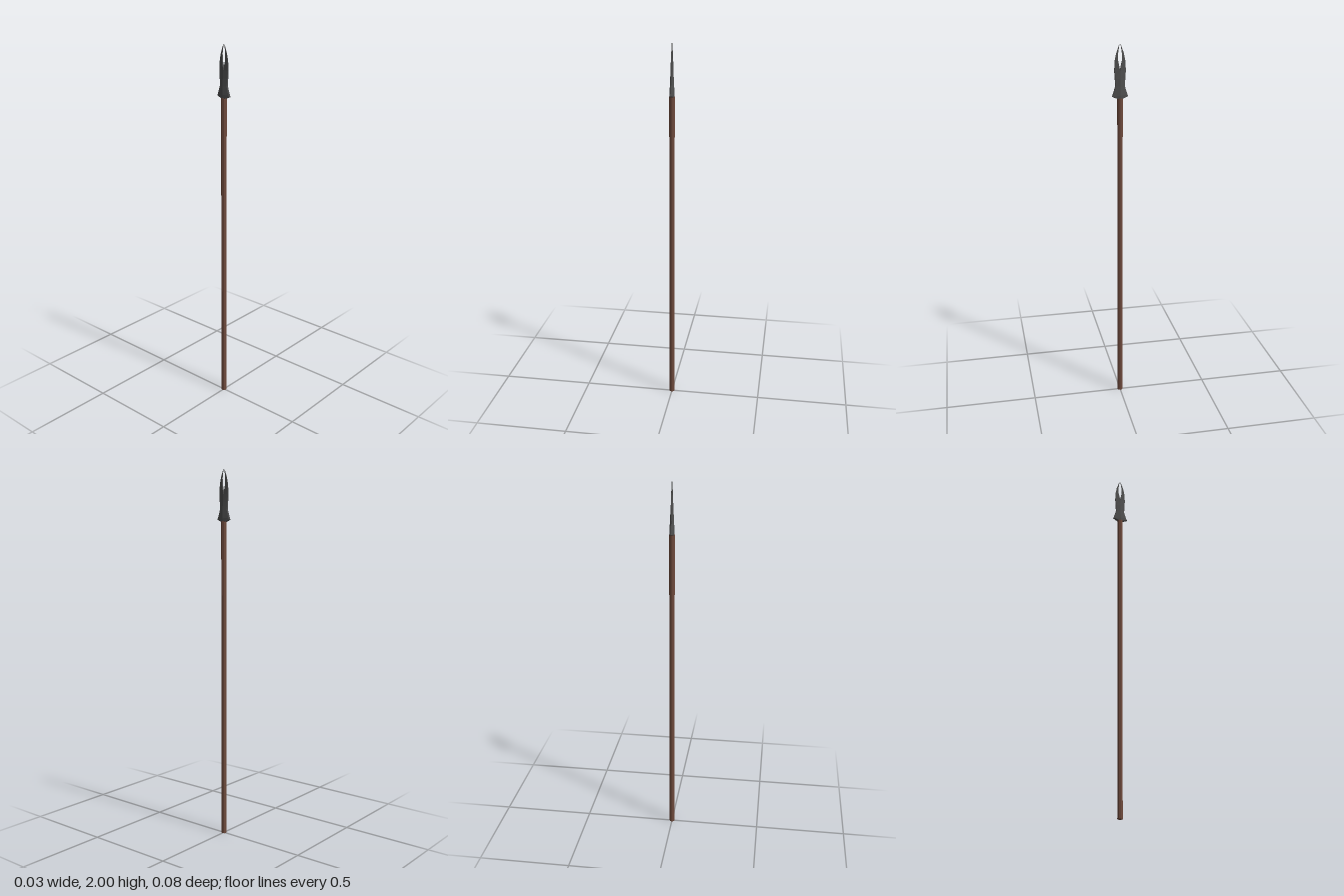
import * as THREE from 'three';

const wood = new THREE.MeshStandardMaterial({ color: 0x6e4a3c, flatShading: true });
const iron = new THREE.MeshStandardMaterial({ color: 0x505050, flatShading: true });

// One half of the forked head, lofted upwards through six-sided sections.
// Row: [inner y, outer y, inner z, outer z, inner half thickness, outer half thickness]
const ROWS = [
  [1.722, 1.738, 0, 0.042, 0.012, 0.006],
  [1.745, 1.748, 0, 0.038, 0.013, 0.006],
  [1.79, 1.79, 0, 0.025, 0.011, 0.005],
  [1.83, 1.83, 0, 0.027, 0.009, 0.004],
  [1.87, 1.87, 0, 0.030, 0.006, 0.003],
  [1.92, 1.92, 0.010, 0.027, 0.003, 0.002],
  [1.955, 1.955, 0.010, 0.020, 0.002, 0.001],
  [2.0, 2.0, 0.003, 0.004, 0.0005, 0.0005],
];
const NOTCH_ROW = 4;

function halfHeadGeometry() {
  const positions = [];
  const index = [];
  for (const [yIn, yOut, zIn, zOut, tIn, tOut] of ROWS) {
    const zBevel = zOut - (zOut - zIn) * 0.12;
    const side = [[tIn, yIn, zIn], [tOut, yOut, zBevel], [tOut * 0.5, yOut, zOut]];
    const far = side.map(([x, y, z]) => [-x, y, z]).reverse();
    positions.push(...side.flat(), ...far.flat());
  }
  for (let r = 0; r < ROWS.length - 1; r++) {
    for (let k = 0; k < 6; k++) {
      if (k === 5 && r < NOTCH_ROW) continue; // halves join below the notch
      const a = r * 6 + k;
      const b = r * 6 + ((k + 1) % 6);
      index.push(a, a + 6, b, b, a + 6, b + 6);
    }
  }
  // Underside and point
  const top = (ROWS.length - 1) * 6;
  for (let k = 1; k < 5; k++) {
    index.push(0, k, k + 1, top, top + k + 1, top + k);
  }
  const geometry = new THREE.BufferGeometry();
  geometry.setAttribute('position', new THREE.Float32BufferAttribute(positions, 3));
  geometry.setIndex(index);
  geometry.computeVertexNormals();
  return geometry;
}

export function createModel() {
  const model = new THREE.Group();
  model.name = 'forkedSpear';

  // Shaft
  const shaft = new THREE.Mesh(new THREE.CylinderGeometry(0.0145, 0.0145, 1.73, 8), wood);
  shaft.name = 'shaft';
  shaft.position.y = 0.865;
  model.add(shaft);

  // Two-pronged head, the second half turned about the shaft
  const head = new THREE.Group();
  head.name = 'spearHead';
  const geometry = halfHeadGeometry();
  ['frontProng', 'backProng'].forEach((name, i) => {
    const prong = new THREE.Mesh(geometry, iron);
    prong.name = name;
    prong.rotation.y = i * Math.PI;
    head.add(prong);
  });
  model.add(head);

  return model;
}
